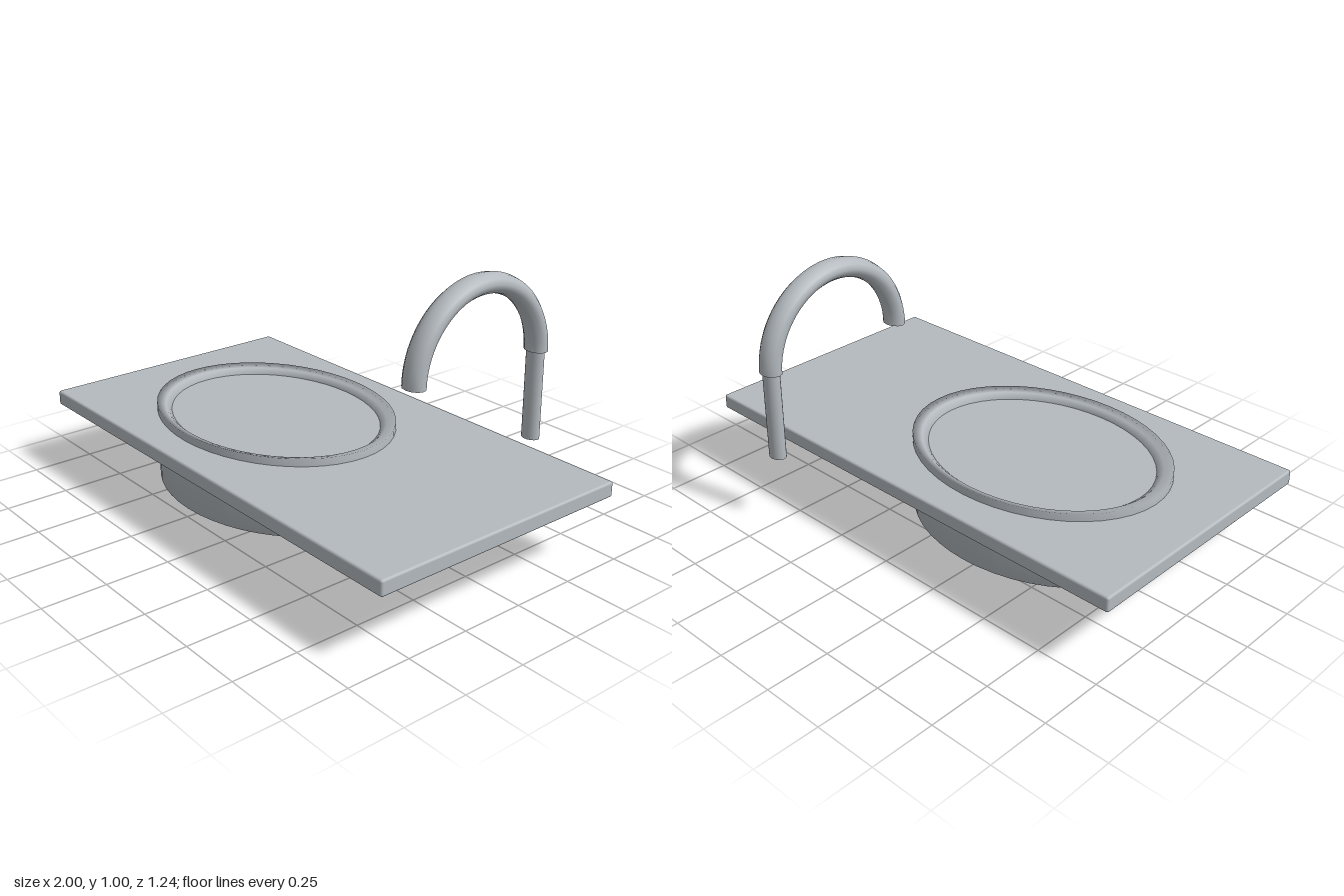
import * as THREE from 'three';
import { RoundedBoxGeometry } from 'three/addons/geometries/RoundedBoxGeometry.js';

export function createModel() {
  const group = new THREE.Group();
  const grey = new THREE.MeshStandardMaterial({ color: 0xb4babf, side: THREE.DoubleSide });
  grey.name = 'paleGrey';
  const depthScale = 0.775; // round parts are squashed front to back

  const add = (name, geometry, x, y, z) => {
    const mesh = new THREE.Mesh(geometry, grey);
    mesh.name = name;
    mesh.position.set(x, y, z);
    group.add(mesh);
    return mesh;
  };

  // Flat slab with slightly softened edges
  add('countertop', new RoundedBoxGeometry(2, 0.06, 1.08, 2, 0.009), 0, 0.294, 0.08);

  // Oval basin: underside, wall, sloping rim and the hidden bowl inside
  const profile = [
    [0, 0.003], [0.33, 0.003], [0.54, 0.042], [0.54, 0.355],
    [0.5, 0.345], [0.47, 0.322], [0.45, 0.09], [0.3, 0.05], [0, 0.05],
  ].map(([r, y]) => new THREE.Vector2(r, y));
  const basin = new THREE.LatheGeometry(profile, 48, Math.PI / 2);
  basin.scale(1, 1, depthScale);
  add('basin', basin, -0.24, 0, 0.083);

  // Upright pipe of the tap
  const pipe = new THREE.CylinderGeometry(0.038, 0.038, 0.36, 24);
  pipe.scale(1, 1, depthScale);
  add('tapPipe', pipe, 0.5, 0.47, -0.584);

  // Half-ring spout arching forward over the slab
  const spout = new THREE.TorusGeometry(0.4, 0.05, 12, 40, Math.PI);
  spout.rotateY(Math.PI / 2);
  spout.scale(1, 0.789, depthScale);
  add('tapSpout', spout, 0.5, 0.645, -0.275);

  return group;
}
